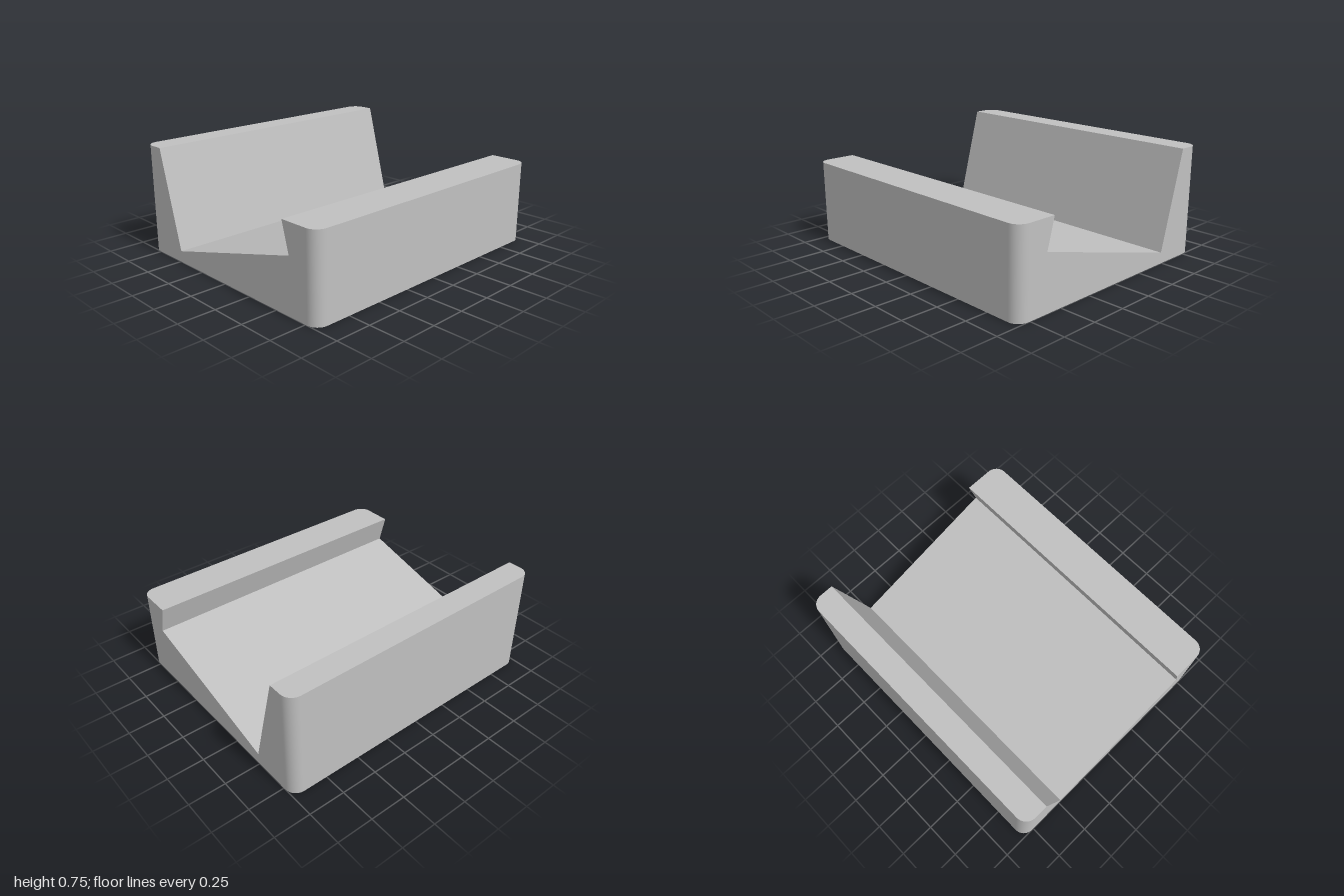
import * as THREE from 'three';

const DEPTH = 0.843;   // half depth
const R = 0.08;        // vertical corner radius
const STEPS = 10;      // segments per rounded corner
const FRONT_H = 0.572;
const BACK_H = 0.75;

// Points along a rounded corner: y, z, half-width w and turn angle a.
// dir = 1 for the front, -1 for the back
function cornerArc(dir, y) {
  return Array.from({ length: STEPS + 1 }, (_, i) => {
    const a = (i / STEPS) * Math.PI / 2;
    return { y, z: dir * (DEPTH - R + R * Math.sin(a)), w: 1 - R + R * Math.cos(a), a: a * dir };
  });
}

function cradleGeometry() {
  const positions = [], normals = [];
  const triangle = (points, norms) => {
    points.forEach((p) => positions.push(...p));
    norms.forEach((n) => normals.push(...n));
  };

  const frontLow = cornerArc(1, 0), frontTop = cornerArc(1, FRONT_H);
  const backLow = cornerArc(-1, 0), backTop = cornerArc(-1, BACK_H);

  // Undercut lip, sloping floor and leaning back rest
  const groove = [[0.565, FRONT_H], [0.62, 0.372], [-0.49, 0.077], [-0.67, BACK_H]]
    .map(([z, y]) => ({ z, y, w: 1, a: 0 }));

  // Bands across the width, following the whole profile
  const loop = [...backLow.slice().reverse(), ...frontLow, ...frontTop.slice().reverse(), ...groove, ...backTop];
  loop.forEach((p, i) => {
    const q = loop[(i + 1) % loop.length];
    const len = Math.hypot(q.y - p.y, q.z - p.z);
    const n = [0, (p.z - q.z) / len, (q.y - p.y) / len];
    const pl = [-p.w, p.y, p.z], pr = [p.w, p.y, p.z];
    const ql = [-q.w, q.y, q.z], qr = [q.w, q.y, q.z];
    triangle([pl, pr, qr], [n, n, n]);
    triangle([pl, qr, ql], [n, n, n]);
  });

  // Mirrored side surfaces, filled from an outline in z and y
  const sides = (outline) => {
    const faces = THREE.ShapeUtils.triangulateShape(outline.map((p) => new THREE.Vector2(p.z, p.y)), []);
    for (const face of faces) {
      for (const s of [-1, 1]) {
        const c = face.map((i) => outline[i]);
        if (s > 0) c.reverse();
        triangle(c.map((p) => [s * p.w, p.y, p.z]), c.map((p) => [s * Math.cos(p.a), 0, Math.sin(p.a)]));
      }
    }
  };
  sides([backLow[0], frontLow[0], frontTop[0], ...groove, backTop[0]]);
  for (let i = 0; i < STEPS; i++) {
    sides([frontLow[i], frontLow[i + 1], frontTop[i + 1], frontTop[i]]);
    sides([backLow[i + 1], backLow[i], backTop[i], backTop[i + 1]]);
  }

  const geometry = new THREE.BufferGeometry();
  geometry.setAttribute('position', new THREE.Float32BufferAttribute(positions, 3));
  geometry.setAttribute('normal', new THREE.Float32BufferAttribute(normals, 3));
  return geometry;
}

export function createModel() {
  const grey = new THREE.MeshStandardMaterial({ color: 0xc0c0c0 });
  grey.name = 'light grey';

  const group = new THREE.Group();
  group.name = 'cradleStand';
  const body = new THREE.Mesh(cradleGeometry(), grey);
  body.name = 'cradleBody';
  group.add(body);
  return group;
}
